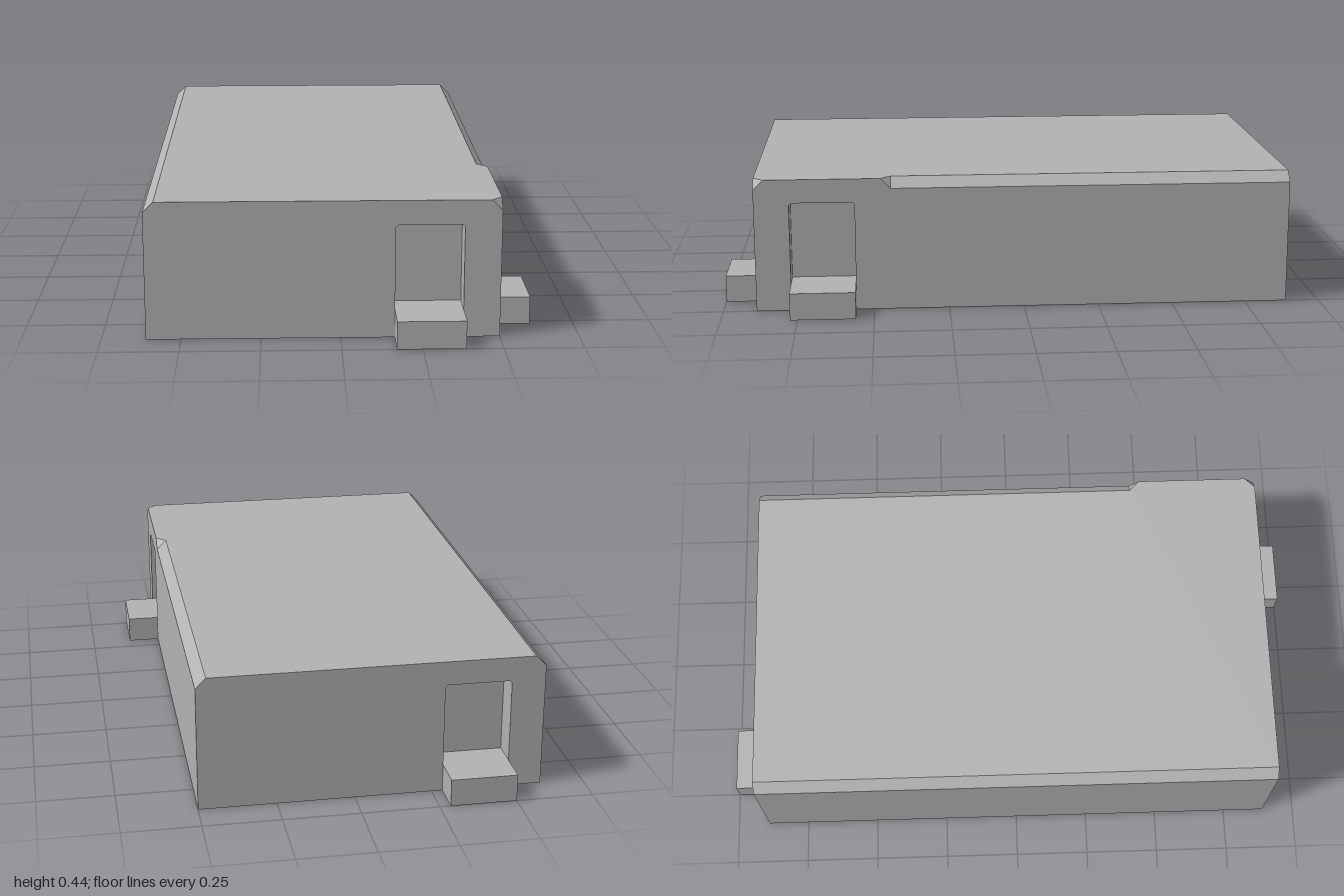
import * as THREE from 'three';

// Body extents
const L = -0.61, R = 0.5, Z = 0.89, H = 0.445, C = 0.034, h = H - C;
const NOTCH_END = 0.44;
// Doorway and step sizes
const DOOR_W = 0.215, SILL = 0.09, DOOR_TOP = 0.366, DEPTH = 0.09, STEP = 0.11, RND = 0.008;

const grey = new THREE.MeshStandardMaterial({ color: 0xb2b2b2 });
grey.name = 'concreteGrey';

const toVec = pts => pts.map(p => new THREE.Vector2(p[0], p[1]));

function part(name, geometry, parent) {
  const m = new THREE.Mesh(geometry, grey);
  m.name = name;
  parent.add(m);
  return m;
}

// Flat panel in the xy plane with optional holes
function panel(pts, holes = []) {
  const s = new THREE.Shape(toVec(pts));
  for (const hole of holes) s.holes.push(new THREE.Path(toVec(hole)));
  return new THREE.ShapeGeometry(s);
}

// Convex 3D polygons, each drawn as a fan
function facets(polys) {
  const pos = [];
  for (const p of polys)
    for (let i = 1; i < p.length - 1; i++) pos.push(...p[0], ...p[i], ...p[i + 1]);
  const g = new THREE.BufferGeometry();
  g.setAttribute('position', new THREE.Float32BufferAttribute(pos, 3));
  g.computeVertexNormals();
  return g;
}

// Doorway outline, top corners slightly eased
function doorOutline(u) {
  const a = u - DOOR_W / 2, b = u + DOOR_W / 2;
  return [[a, SILL], [b, SILL], [b, DOOR_TOP - RND], [b - RND, DOOR_TOP],
    [a + RND, DOOR_TOP], [a, DOOR_TOP - RND]];
}

// Upright wall facing its local +z, turned into place; doorU adds a recessed doorway and step
function wall(name, outline, angle, distance, doorU) {
  const g = new THREE.Group();
  g.name = name;
  const hasDoor = doorU !== undefined;
  const door = hasDoor ? doorOutline(doorU) : null;
  part(name + 'Panel', panel(outline, hasDoor ? [door] : []), g).position.z = distance;
  if (hasDoor) {
    part('doorBack', panel(door), g).position.z = distance - DEPTH;
    const sides = door.map((p, i) => {
      const q = door[(i + 1) % door.length];
      return [[...p, 0], [...q, 0], [...q, -DEPTH], [...p, -DEPTH]];
    });
    part('doorReveal', facets(sides), g).position.z = distance;
    part('doorStep', new THREE.BoxGeometry(DOOR_W, SILL, STEP), g)
      .position.set(doorU, SILL / 2, distance + STEP / 2);
  }
  g.rotation.y = angle;
  return g;
}

export function createModel() {
  const model = new THREE.Group();
  model.name = 'building';

  // Four walls
  const end = [[L, 0], [R, 0], [R, h], [R - C, H], [L + C, H], [L, h]];
  const endMirrored = end.map(([x, y]) => [-x, y]).reverse();
  const side = [[-Z, 0], [Z, 0], [Z, h], [-NOTCH_END, h], [-NOTCH_END - C, H], [-Z + C, H], [-Z, h]];
  model.add(
    wall('frontWall', end, 0, Z, 0.277),
    wall('rightWall', side, Math.PI / 2, R, -0.667),
    wall('backWall', endMirrored, Math.PI, Z, 0.393),
    wall('leftWall', [[-Z, 0], [Z, 0], [Z, h], [-Z, h]], -Math.PI / 2, -L));

  // Roof and floor
  const roof = panel([[L + C, -Z], [R - C, -Z], [R, -Z + C], [R, -NOTCH_END - C],
    [R - C, -NOTCH_END], [R - C, Z], [L + C, Z]]).rotateX(-Math.PI / 2);
  part('roof', roof, model).position.y = H;
  part('floor', panel([[L, -Z], [R, -Z], [R, Z], [L, Z]]).rotateX(Math.PI / 2), model);

  // Bevelled roof edges and the small corner cut
  part('roofBevels', facets([
    [[L, h, -Z], [L, h, Z], [L + C, H, Z], [L + C, H, -Z]],
    [[R, h, NOTCH_END], [R, h, -Z], [R - C, H, -Z], [R - C, H, NOTCH_END]],
    [[R - C, H, NOTCH_END], [R, H, NOTCH_END + C], [R, h, NOTCH_END]],
    [[R - C, H, Z], [R, h, Z], [R, H, Z - C]],
  ]), model);

  return model;
}
